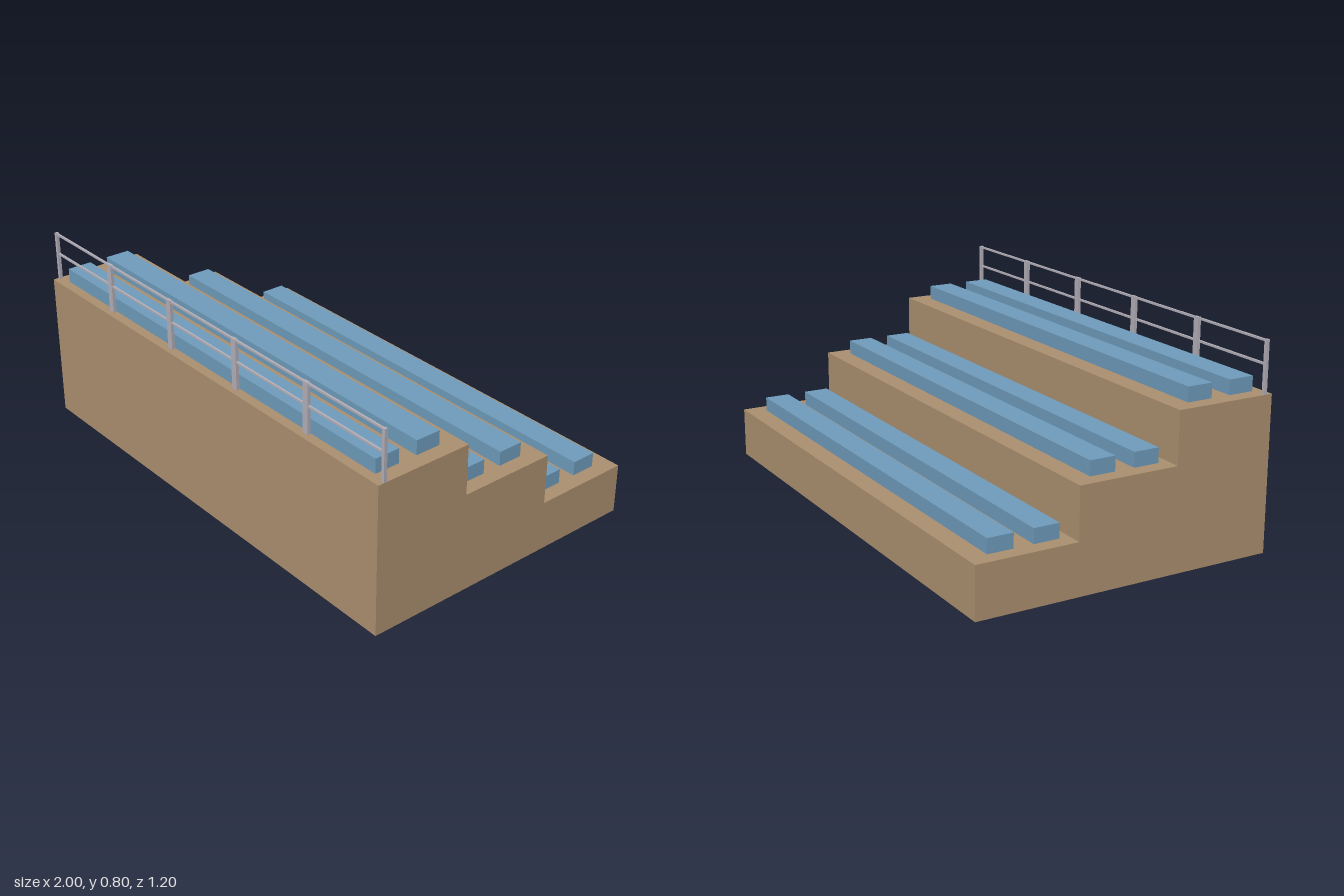
import * as THREE from 'three';

const wood = new THREE.MeshStandardMaterial({ color: 0xad9170, flatShading: true });
const blue = new THREE.MeshStandardMaterial({ color: 0x6f9dbd, flatShading: true });
const metal = new THREE.MeshStandardMaterial({ color: 0xb4b0ba, flatShading: true });

function addBox(parent, name, material, size, position) {
  const mesh = new THREE.Mesh(new THREE.BoxGeometry(...size), material);
  mesh.position.set(...position);
  mesh.name = name;
  parent.add(mesh);
  return mesh;
}

export function createModel() {
  const group = new THREE.Group();
  group.name = 'bleachers';
  const steps = 3, rise = 0.2, run = 0.4, backZ = 0.6;

  // Stepped base: side profile (shape x = z, shape y = y) extruded along the width
  const profile = new THREE.Shape();
  profile.moveTo(backZ, 0);
  profile.lineTo(backZ, steps * rise);
  for (let i = steps; i > 0; i--) {
    const z = backZ - (steps - i + 1) * run;
    profile.lineTo(z, i * rise);
    profile.lineTo(z, (i - 1) * rise);
  }
  const geometry = new THREE.ExtrudeGeometry(profile, { depth: 2, bevelEnabled: false });
  geometry.translate(0, 0, -1);
  geometry.rotateY(-Math.PI / 2);
  const base = new THREE.Mesh(geometry, wood);
  base.name = 'steppedBase';
  group.add(base);

  // Two benches on each step
  const benchHeight = 0.057;
  for (let i = 0; i < steps; i++) {
    const stepZ = (i - 1) * run;
    for (const offset of [0.11, -0.07]) {
      addBox(group, 'bench', blue, [1.88, benchHeight, 0.102],
        [0, (i + 1) * rise + benchHeight / 2, stepZ + offset]);
    }
  }

  // Guard rail: five equal panels, each with a post at both ends and two bars
  const railing = new THREE.Group();
  railing.name = 'guardRail';
  group.add(railing);
  const panel = 0.4, post = 0.013, railZ = 0.571;
  for (let i = 0; i < 5; i++) {
    const x = (i - 2) * panel;
    for (const side of [-1, 1]) {
      addBox(railing, 'railPost', metal, [post, 0.2, post],
        [x + side * (panel - post) / 2, 0.7, railZ]);
    }
    for (const y of [0.795, 0.71]) {
      addBox(railing, 'railBar', metal, [panel - 2 * post, 0.008, 0.008], [x, y, railZ]);
    }
  }
  return group;
}
